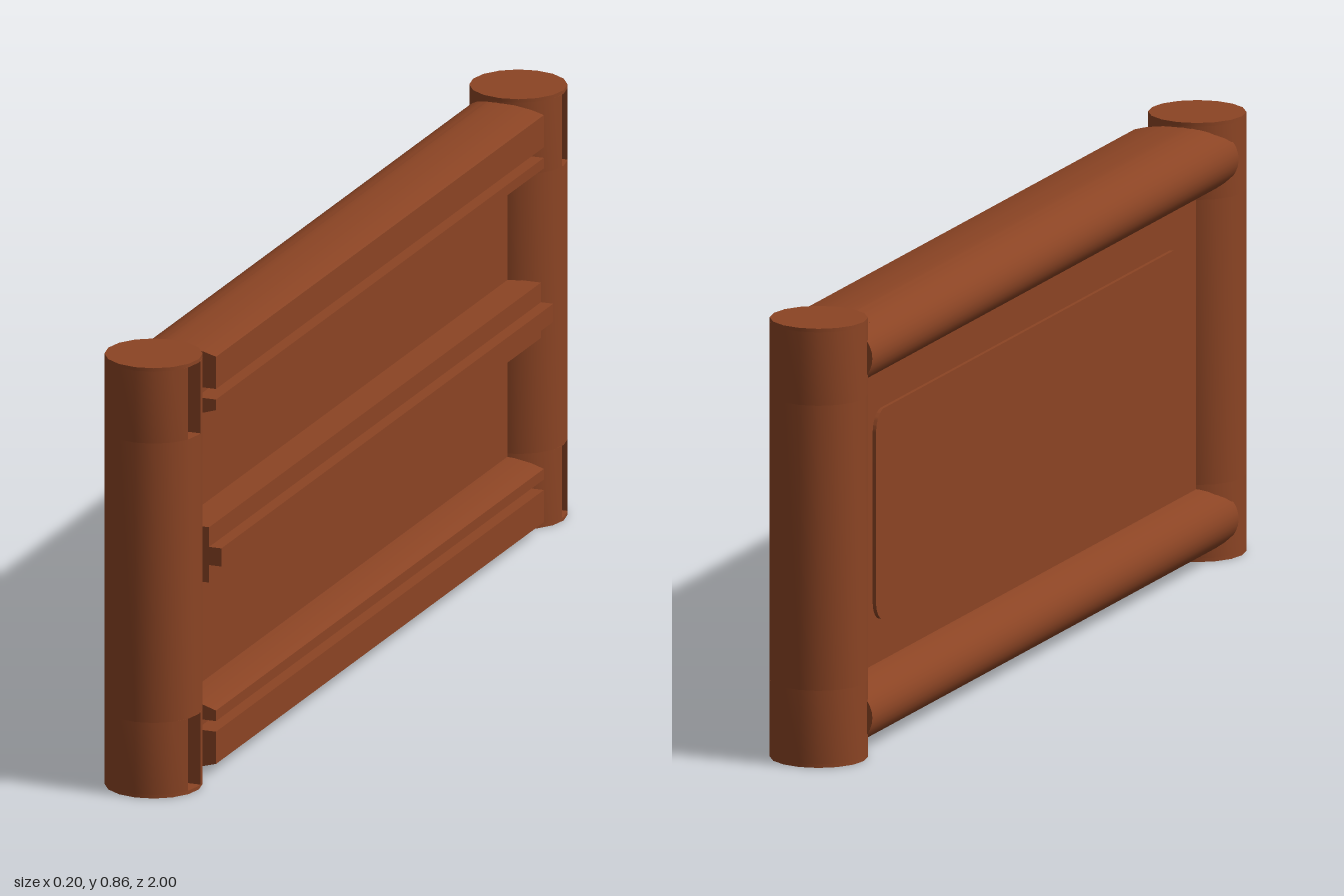
import * as THREE from 'three';
import { toCreasedNormals } from 'three/addons/utils/BufferGeometryUtils.js';

const HEIGHT = 0.855, POST_R = 0.093, POST_X = -0.005, POST_Z = 0.907;
const wood = new THREE.MeshStandardMaterial({ color: 0x8b4424 });
wood.name = 'brownWood';

function extrude(shape, depth) {
  const geo = new THREE.ExtrudeGeometry(shape, { depth, bevelEnabled: false, curveSegments: 8 });
  return toCreasedNormals(geo, 0.6);
}

function add(parent, name, geo) {
  const mesh = new THREE.Mesh(geo, wood);
  mesh.name = name;
  parent.add(mesh);
  return mesh;
}

// Shape in x/y swept along z, centred on z = 0
function addBar(parent, name, points, halfLength) {
  const shape = new THREE.Shape(points.map(([x, y]) => new THREE.Vector2(x, y)));
  const mesh = add(parent, name, extrude(shape, halfLength * 2));
  mesh.position.z = -halfLength;
  return mesh;
}

// Sixteen-sided post outline, with an optional slot cut into its +x side
function postShape(side, slotted) {
  const lo = -0.008, hi = 0.037, floor = 0.055, pts = [];
  const rim = (v) => Math.sqrt(POST_R * POST_R - v * v);
  for (let i = 1; i <= 16; i++) {
    const a = (i / 16) * Math.PI * 2;
    const x = Math.cos(a) * POST_R, v = Math.sin(a) * POST_R;
    if (slotted && x > 0 && v > lo - 0.001 && v < hi + 0.001) continue;
    pts.push(new THREE.Vector2(x, v));
  }
  if (slotted) {
    pts.push(new THREE.Vector2(rim(lo), lo), new THREE.Vector2(floor, lo),
      new THREE.Vector2(floor, hi), new THREE.Vector2(rim(hi), hi));
  }
  // shape y becomes -z once the post is stood upright
  if (side > 0) pts.forEach((p) => { p.y = -p.y; });
  return new THREE.Shape(pts);
}

function makePost(name, side) {
  const post = new THREE.Group();
  post.name = name;
  const levels = [0, 0.007, 0.15, HEIGHT - 0.15, HEIGHT - 0.007, HEIGHT];
  for (let i = 0; i < 5; i++) {
    const slotted = i % 2 === 1;
    const geo = extrude(postShape(side, slotted), levels[i + 1] - levels[i]);
    geo.rotateX(-Math.PI / 2);
    add(post, slotted ? 'slottedPostSection' : 'postSection', geo).position.y = levels[i];
  }
  post.position.set(POST_X, 0, side * POST_Z);
  return post;
}

// Rounded rail with a groove on +x and a longer nose lapping the posts on -x
function makeRail(name, flip) {
  const rail = new THREE.Group();
  rail.name = name;
  const cy = 0.7775, ry = 0.0675, noseX = -0.103, midX = -0.015;
  const arc = (from, to, steps) => Array.from({ length: steps + 1 }, (_, i) => {
    const a = from + ((to - from) * i) / steps;
    return [midX + Math.cos(a) * (midX - noseX), cy + Math.sin(a) * ry];
  });
  const place = (pts) => (flip ? pts.map(([x, y]) => [x, HEIGHT - y]) : pts);
  const body = [
    [0.085, 0.768], [0.085, 0.832], [0.06, 0.839], [0.025, 0.844],
    ...arc(Math.PI / 2, Math.PI * 1.5, 18),
    [0.025, 0.712], [0.06, 0.718], [0.085, 0.726], [0.085, 0.747], [0.045, 0.747], [0.045, 0.768],
  ];
  addBar(rail, 'railBody', place(body), 0.815);
  addBar(rail, 'railNose', place(arc(Math.PI * 0.56, Math.PI * 1.44, 16)), 0.878);
  return rail;
}

function roundedRect(w, h, r) {
  const s = new THREE.Shape(), x = w / 2, y = h / 2;
  s.absarc(x - r, y - r, r, 0, Math.PI / 2);
  s.absarc(-x + r, y - r, r, Math.PI / 2, Math.PI);
  s.absarc(-x + r, -y + r, r, Math.PI, Math.PI * 1.5);
  s.absarc(x - r, -y + r, r, Math.PI * 1.5, Math.PI * 2);
  return s;
}

export function createModel() {
  const model = new THREE.Group();
  model.name = 'panelSection';

  // End posts
  model.add(makePost('frontPost', 1), makePost('backPost', -1));

  // Top and bottom rails
  model.add(makeRail('topRail', false), makeRail('bottomRail', true));

  // Flat board between the rails
  const board = add(model, 'board', new THREE.BoxGeometry(0.05, 0.66, 1.66));
  board.position.set(-0.015, HEIGHT / 2, 0);

  // Shallow raised field on the -x side of the board
  const field = extrude(roundedRect(1.46, 0.41, 0.04), 0.008);
  field.rotateY(-Math.PI / 2);
  add(model, 'raisedField', field).position.set(-0.039, 0.43, 0);

  // Stepped middle rail on the +x side
  addBar(model, 'middleRail', [
    [0, 0.385], [0.075, 0.385], [0.075, 0.42], [0.1, 0.42],
    [0.1, 0.456], [0.075, 0.456], [0.075, 0.495], [0, 0.495],
  ], 0.825);

  return model;
}
